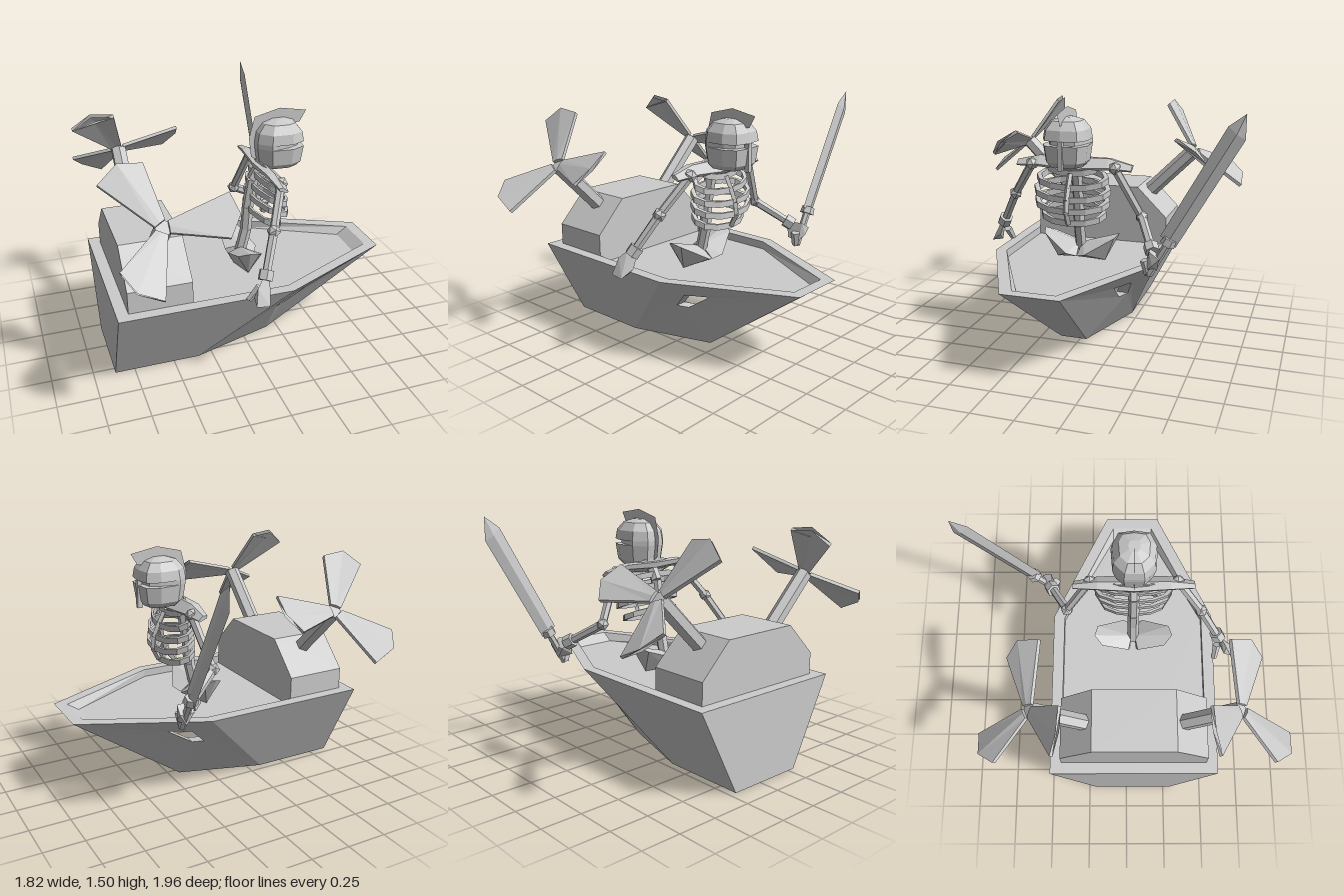
import * as THREE from 'three';
import { ConvexGeometry } from 'three/addons/geometries/ConvexGeometry.js';

const grey = new THREE.MeshStandardMaterial({ color: 0xcccccc, flatShading: true });
const thin = new THREE.MeshStandardMaterial({ color: 0xcccccc, flatShading: true, side: THREE.DoubleSide });
const V = (x, y, z) => new THREE.Vector3(x, y, z);

function add(parent, name, geo, mat = grey) {
  const m = new THREE.Mesh(geo, mat);
  m.name = name;
  parent.add(m);
  return m;
}

// polygons (fan-split) to a flat-shaded geometry
function fromPolys(polys) {
  const pos = [];
  for (const p of polys)
    for (let i = 1; i < p.length - 1; i++)
      for (const v of [p[0], p[i], p[i + 1]]) pos.push(v.x, v.y, v.z);
  const g = new THREE.BufferGeometry();
  g.setAttribute('position', new THREE.Float32BufferAttribute(pos, 3));
  g.computeVertexNormals();
  return g;
}

const mirrorPolys = polys => polys.map(p => p.map(v => V(v.x, v.y, -v.z)).reverse());

// skin over a list of rings; turned outward by its signed volume
function loft(rings, closed = false) {
  const polys = [], n = rings[0].length, last = rings.length - (closed ? 0 : 1);
  for (let i = 0; i < last; i++) {
    const a = rings[i], b = rings[(i + 1) % rings.length];
    for (let j = 0; j < n; j++) {
      const k = (j + 1) % n;
      polys.push([a[j], a[k], b[k], b[j]]);
    }
  }
  if (!closed) polys.push([...rings[0]].reverse(), rings[rings.length - 1]);
  let vol = 0;
  for (const p of polys)
    for (let i = 1; i < p.length - 1; i++) vol += p[0].dot(p[i].clone().cross(p[i + 1]));
  return fromPolys(vol < 0 ? polys.map(p => [...p].reverse()) : polys);
}

// tapered bar between two points
function bar(parent, name, a, b, r0, r1 = r0, sides = 6) {
  const d = b.clone().sub(a);
  const m = add(parent, name, new THREE.CylinderGeometry(r1, r0, d.length(), sides));
  m.position.copy(a).addScaledVector(d, 0.5);
  m.quaternion.setFromUnitVectors(V(0, 1, 0), d.normalize());
  return m;
}

function buildHull(g) {
  const T = 0.54, L = 0.49;
  const E = V(-0.87, 0, 0.25), A = V(-0.34, 0, 0.25), B = V(0.18, 0, 0.085);
  const F = V(-0.87, T, 0.525), D = V(0.18, T, 0.525), C = V(0.91, T, 0.175);
  const G = V(-0.8, T, 0.455), H = V(0.17, T, 0.455), I = V(0.84, T, 0.13);
  const g1 = V(-0.8, L, 0.455), h1 = V(0.17, L, 0.455), i1 = V(0.77, L, 0.13);
  const mid = v => V(v.x, v.y, 0);
  const o = [V(0.14, 0.33, 0.345), V(0.2, 0.32, 0.305), V(0.38, 0.44, 0.325), V(0.25, 0.44, 0.395)];
  const half = [
    [E, A, D, F], [mid(E), E, F, mid(F)], [B, mid(B), mid(C), C], [mid(E), mid(B), B, A, E],
    // bow side around the opening
    [A, o[3], D], [A, o[0], o[3]], [A, B, o[0]], [B, o[1], o[0]],
    [B, C, o[1]], [o[1], C, o[2]], [o[2], C, o[3]], [o[3], C, D],
    // rim
    [F, D, H, G], [D, C, I, H], [C, mid(C), mid(I), I], [mid(F), F, G, mid(G)],
    // well
    [G, H, h1, g1], [H, I, i1, h1], [I, mid(I), mid(i1), i1], [mid(G), G, g1, mid(g1)],
    [mid(g1), g1, h1, i1, mid(i1)],
  ];
  // opening sides
  const inner = o.map(v => V(v.x, v.y, v.z - 0.07));
  o.forEach((v, i) => half.push([v, o[(i + 1) % 4], inner[(i + 1) % 4], inner[i]]));
  add(g, 'hull', fromPolys([...half, ...mirrorPolys(half)]));
}

function buildEngine(g) {
  const ring = x => [[0.455, 0.48], [0.455, 0.675], [0.255, 0.875], [-0.255, 0.875], [-0.455, 0.675], [-0.455, 0.48]]
    .map(([z, y]) => V(x, y, z));
  add(g, 'engineBox', loft([ring(-0.8), ring(-0.42)]));

  for (const s of [1, -1]) {
    const prop = new THREE.Group();
    prop.name = s > 0 ? 'leftPropeller' : 'rightPropeller';
    g.add(prop);
    const hub = V(-0.61, 1.12, s * 0.6), q = Math.SQRT1_2;
    bar(prop, 'strut', V(-0.61, 0.81, s * 0.29), hub, 0.05);
    // disc coordinates: radius, angle, height along the strut axis
    const at = (r, deg, h) => {
      const t = THREE.MathUtils.degToRad(deg), u = r * Math.cos(t), v = r * Math.sin(t);
      return V(hub.x + u, hub.y + q * (h - v), hub.z + s * q * (h + v));
    };
    for (let i = 0; i < 3; i++) {
      const k = i * 120, th = 0.022;
      const section = p => [...p.map(([r, a, h]) => at(r, a + k, h)),
        ...[...p].reverse().map(([r, a, h]) => at(r, a + k, h - th))];
      add(prop, 'blade', loft([
        section([[0.045, -50, 0.015], [0.03, 0, 0.02], [0.045, 50, 0.015]]),
        section([[0.4, -19, 0.055], [0.4, 2, 0.09], [0.35, 22, 0.075]]),
      ]));
    }
  }
}

function buildHead(g) {
  const head = new THREE.Group();
  head.name = 'helmetedHead';
  g.add(head);
  const outline = [[0.145, 0], [0.13, 0.1], [0.05, 0.138], [-0.08, 0.128], [-0.15, 0.06]];
  const full = [...outline, ...outline.slice(1).reverse().map(([x, z]) => [x, -z])];
  // level: height, scale, front inset that forms the eye slit
  const levels = [[1.14, 0.72, 0], [1.17, 0.9, 0], [1.27, 1, 0], [1.272, 1, 0.035], [1.298, 1, 0.035],
    [1.3, 1, 0], [1.36, 0.93, 0], [1.41, 0.66, 0], [1.43, 0.25, 0]];
  add(head, 'helmet', loft(levels.map(([y, s, inset]) => full.map(([x, z]) => {
    const k = x > 0 ? 1 - inset / 0.145 : 1;
    return V(0.26 + x * s * k, y, z * s * k);
  }))));
  const nose = add(head, 'noseGuard', new THREE.BoxGeometry(0.03, 0.17, 0.028));
  nose.position.set(0.393, 1.215, 0);
  const crest = new THREE.Shape([[0.44, 1.46], [0.27, 1.49], [0.11, 1.45], [0.075, 1.32], [0.09, 1.2], [0.14, 1.16],
    [0.2, 1.28], [0.28, 1.38], [0.4, 1.39]].map(p => new THREE.Vector2(...p)));
  add(head, 'crest', new THREE.ShapeGeometry(crest), thin);
}

function buildTorso(g) {
  const torso = new THREE.Group();
  torso.name = 'torso';
  g.add(torso);
  // spine and neck
  const spine = [V(0.02, 0.56, 0), V(0.06, 0.72, 0), V(0.07, 0.87, 0), V(0.1, 1.05, 0), V(0.15, 1.14, 0), V(0.23, 1.18, 0)];
  for (let i = 0; i < 5; i++) bar(torso, 'spine', spine[i], spine[i + 1], 0.036);
  // ribs: front x, front y, back x, half width
  const ribs = [[0.23, 1.08, 0.12, 0.17], [0.27, 1.0, 0.1, 0.23], [0.3, 0.93, 0.08, 0.245],
    [0.31, 0.86, 0.07, 0.24], [0.27, 0.78, 0.06, 0.21]];
  for (const [xf, yf, xb, w] of ribs) {
    const rings = [];
    for (let i = 0; i < 12; i++) {
      const t = i / 12 * Math.PI * 2, c = Math.cos(t), s = Math.sin(t);
      const point = (k, dy) => V((xf + xb) / 2 + c * k * (xf - xb) / 2, yf + 0.045 * (1 - c) + dy, s * w * k);
      rings.push([point(1, 0.018), point(1, -0.018), point(0.87, -0.018), point(0.87, 0.018)]);
    }
    add(torso, 'rib', loft(rings, true));
  }
  for (let i = 0; i < 4; i++)
    bar(torso, 'sternum', V(ribs[i][0], ribs[i][1], 0), V(ribs[i + 1][0], ribs[i + 1][1], 0), 0.017, 0.017, 4);
  // collar plate
  const collar = [[-0.365, 0.45, -0.01], [-0.22, 0.8, 0.01], [0, 1, 0], [0.22, 0.8, 0.01], [0.365, 0.45, -0.01]];
  add(torso, 'collar', loft(collar.map(([z, k, dy]) =>
    [[-0.06, 0.035], [0, 0.04], [0.07, -0.02], [0.05, -0.04], [-0.05, 0]]
      .map(([x, y]) => V(0.155 + x * k, 1.13 + y * k + dy, z)))));
  // pelvis
  for (const s of [1, -1])
    add(torso, 'pelvis', new ConvexGeometry([
      [-0.07, 0.58, 0.03], [-0.06, 0.64, 0.2], [0.0, 0.67, 0.25], [0.07, 0.65, 0.23], [0.15, 0.55, 0.06],
      [0.12, 0.53, 0.0], [0.02, 0.49, 0.16], [-0.03, 0.5, 0.02], [0.02, 0.6, 0.01],
    ].map(([x, y, z]) => V(x, y, s * z))));
}

function buildArm(g, name, joints, hand) {
  const arm = new THREE.Group();
  arm.name = name;
  g.add(arm);
  for (let i = 0; i < joints.length - 1; i++) {
    bar(arm, 'armBone', joints[i], joints[i + 1], 0.028, 0.026);
    const knob = add(arm, 'joint', new THREE.IcosahedronGeometry(0.042, 0));
    knob.position.copy(joints[i]);
  }
  const end = joints[joints.length - 1], prev = joints[joints.length - 2];
  const dir = end.clone().sub(prev).normalize();
  bar(arm, 'wrist', end.clone().addScaledVector(dir, -0.03), end.clone().addScaledVector(dir, 0.03), 0.045);
  add(arm, 'hand', new ConvexGeometry(hand.map(p => V(...p))));
  return arm;
}

function buildArms(g) {
  const left = buildArm(g, 'leftArm', [V(0.18, 1.12, 0.265), V(0.08, 0.9, 0.42), V(-0.01, 0.69, 0.54)],
    [[0.01, 0.69, 0.53], [-0.04, 0.69, 0.57], [-0.08, 0.65, 0.6], [0.01, 0.59, 0.57],
      [-0.1, 0.55, 0.64], [-0.02, 0.54, 0.64], [-0.1, 0.59, 0.59], [-0.03, 0.55, 0.57]]);
  bar(left, 'thumb', V(-0.05, 0.62, 0.54), V(-0.11, 0.54, 0.53), 0.026, 0.018, 5);
  const right = buildArm(g, 'rightArm', [V(0.18, 1.12, -0.265), V(0.12, 0.82, -0.42), V(0.32, 0.69, -0.53)],
    [[0.31, 0.7, -0.52], [0.33, 0.65, -0.58], [0.42, 0.7, -0.54], [0.43, 0.62, -0.56],
      [0.4, 0.58, -0.52], [0.34, 0.6, -0.5], [0.43, 0.66, -0.6], [0.38, 0.58, -0.58]]);
  bar(right, 'fingers', V(0.39, 0.64, -0.51), V(0.38, 0.55, -0.53), 0.03, 0.025, 5);

  // sword
  const sword = new THREE.Group();
  sword.name = 'sword';
  g.add(sword);
  bar(sword, 'grip', V(0.385, 0.55, -0.53), V(0.385, 0.76, -0.645), 0.023);
  bar(sword, 'guard', V(0.385, 0.74, -0.635), V(0.385, 0.78, -0.655), 0.045, 0.04);
  const blade = [[0.73, -0.685], [0.79, -0.595], [1.43, -0.95], [1.36, -1.045], [1.5, -1.045]].map(([y, z]) => V(0.385, y, z));
  for (const dx of [-0.018, 0.018]) blade.push(V(0.385 + dx, 0.765, -0.645), V(0.385 + dx, 1.39, -0.998));
  add(sword, 'blade', new ConvexGeometry(blade));
}

export function createModel() {
  const root = new THREE.Group();
  root.name = 'boatWithSkeletonWarrior';
  const body = new THREE.Group();
  body.name = 'body';
  body.position.z = 0.045;
  root.add(body);
  buildHull(body);
  buildEngine(body);
  const figure = new THREE.Group();
  figure.name = 'skeleton';
  body.add(figure);
  buildHead(figure);
  buildTorso(figure);
  buildArms(figure);
  return root;
}
